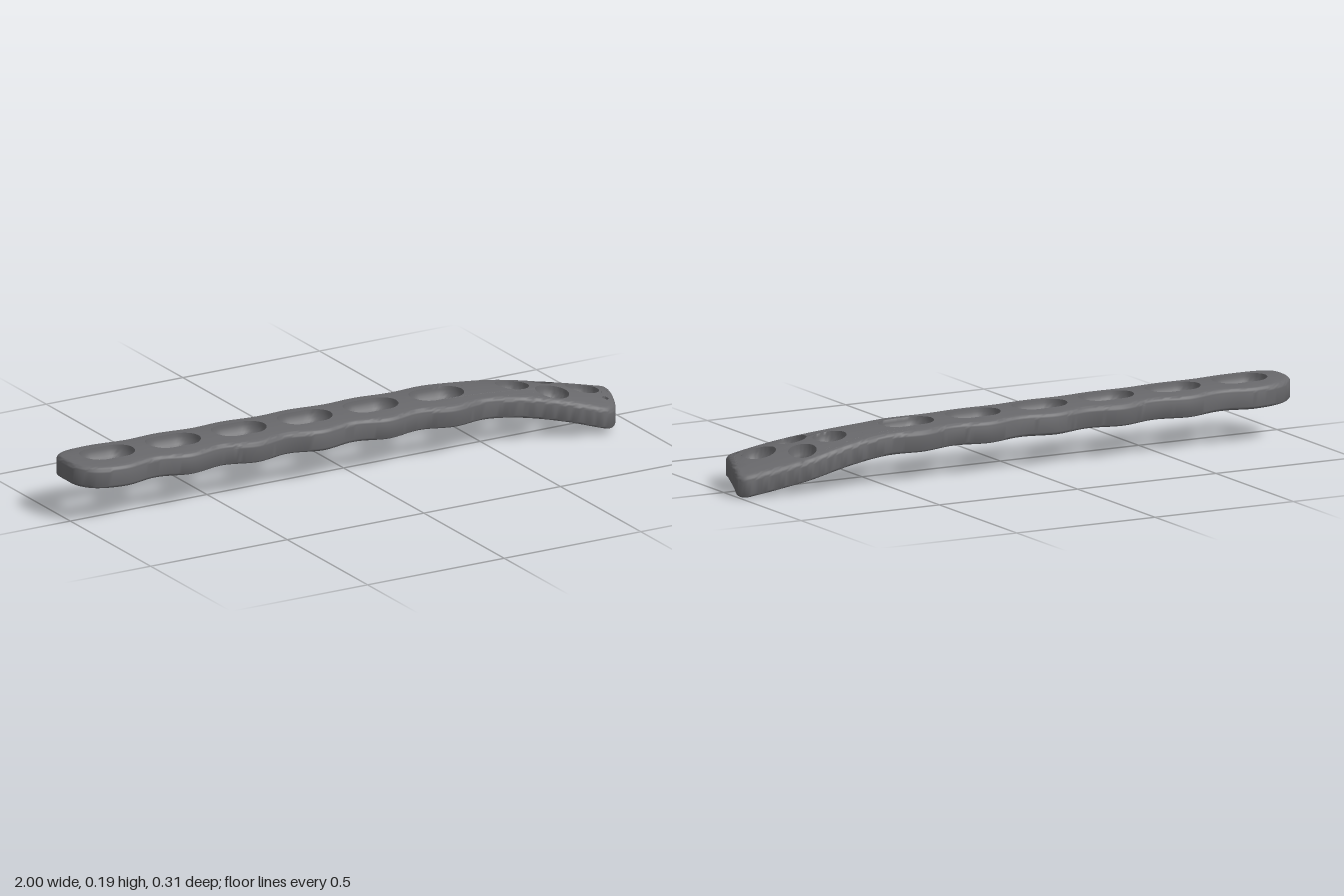
import * as THREE from 'three';
import { mergeGeometries, toCreasedNormals } from 'three/addons/utils/BufferGeometryUtils.js';

const HALF = 0.035;      // half thickness of the plate
const PITCH = 0.241;     // spacing of the slots
const SLOTS = 6;
const slotX = (i) => -0.84 + PITCH * i;

// Plan outline, counter-clockwise, as (x, -z) points
function outlineLoop() {
  const p = [];
  for (let i = 0; i < SLOTS; i++) p.push([slotX(i), 0.08], [slotX(i) + PITCH / 2, 0.062]);
  // flared head
  p.push([0.6, 0.075], [0.75, 0.118], [0.85, 0.15], [0.885, 0.154], [0.915, 0.135], [0.96, 0.04],
    [0.99, -0.05], [0.999, -0.088], [0.985, -0.108], [0.94, -0.12], [0.85, -0.137], [0.76, -0.15], [0.62, -0.148]);
  for (let i = SLOTS - 1; i >= 0; i--) p.push([slotX(i) + PITCH / 2, -0.144], [slotX(i), -0.16]);
  // rounded far end
  p.push([-0.95, -0.14], [-0.992, -0.1], [-1, -0.04], [-0.992, 0.02], [-0.95, 0.06]);
  const curve = new THREE.CatmullRomCurve3(p.map(([x, z]) => new THREE.Vector3(x, -z, 0)), true);
  const pts = curve.getSpacedPoints(380);
  pts.pop();
  return pts.map((v) => new THREE.Vector2(v.x, v.y));
}

// Shrink a loop inward along its normals
function inset(loop, d) {
  const n = loop.length;
  return loop.map((p, i) => {
    const t = loop[(i + 1) % n].clone().sub(loop[(i + n - 1) % n]).normalize();
    return new THREE.Vector2(p.x - t.y * d, p.y + t.x * d);
  });
}

// Clockwise stadium loop (a circle when half = 0)
function stadium(x, z, half, r) {
  const s = new THREE.Shape();
  s.absarc(x + half, -z, r, -Math.PI / 2, Math.PI / 2, false);
  s.absarc(x - half, -z, r, Math.PI / 2, Math.PI * 1.5, false);
  s.closePath();
  const pts = s.getSpacedPoints(48);
  pts.pop();
  return pts.reverse();
}

function fromPositions(pos) {
  const g = new THREE.BufferGeometry();
  g.setAttribute('position', new THREE.Float32BufferAttribute(pos, 3));
  return g;
}

// Wall through loops listed from top to bottom
function wall(rings) {
  const pos = [];
  const put = ({ loop, h }, i) => pos.push(loop[i].x, h, -loop[i].y);
  for (let k = 0; k + 1 < rings.length; k++) {
    const a = rings[k], b = rings[k + 1], n = a.loop.length;
    for (let i = 0; i < n; i++) {
      const j = (i + 1) % n;
      put(b, i); put(b, j); put(a, j);
      put(b, i); put(a, j); put(a, i);
    }
  }
  return fromPositions(pos);
}

// Flat face with holes, divided finely enough to bend
function cap(loop, holes, h, up) {
  const shape = new THREE.Shape(loop);
  shape.holes = holes.map((q) => new THREE.Path(q));
  const g = new THREE.ShapeGeometry(shape), src = g.attributes.position, idx = g.index.array;
  const pos = [];
  const split = (a, b, c) => {
    const ab = a.distanceTo(b), bc = b.distanceTo(c), ca = c.distanceTo(a);
    const longest = Math.max(ab, bc, ca);
    if (longest > 0.045) {
      if (longest === bc) return split(b, c, a);
      if (longest === ca) return split(c, a, b);
      const m = a.clone().add(b).multiplyScalar(0.5);
      split(a, m, c);
      split(m, b, c);
      return;
    }
    for (const v of up ? [a, b, c] : [a, c, b]) pos.push(v.x, h, -v.y);
  };
  const at = (i) => new THREE.Vector2(src.getX(i), src.getY(i));
  for (let i = 0; i < idx.length; i += 3) split(at(idx[i]), at(idx[i + 1]), at(idx[i + 2]));
  return fromPositions(pos);
}

// Arch the section and curve the head downward
function bend(g) {
  const p = g.attributes.position;
  for (let i = 0; i < p.count; i++) {
    const x = p.getX(i), z = p.getZ(i);
    const head = THREE.MathUtils.smoothstep(x, 0.4, 1);
    const drop = 0.014 * x + 0.187 * Math.max(0, x - 0.35) ** 2;
    const arch = (0.8 + 0.7 * head) * (z + 0.04 - 0.06 * head) ** 2;
    p.setY(i, p.getY(i) - drop - arch);
  }
  g.computeBoundingBox();
  g.translate(0, -g.boundingBox.min.y, 0);
}

export function createModel() {
  const metal = new THREE.MeshStandardMaterial({ color: 0x68686b });
  metal.name = 'darkMetal';
  const outline = outlineLoop();

  // Openings: x, z, half straight length, radius, countersink width
  const openings = [
    [0.64, -0.04, 0, 0.036, 0.018], [0.763, -0.085, 0, 0.036, 0.009],
    [0.74, 0.04, 0, 0.036, 0.018], [0.87, 0.005, 0, 0.036, 0.018],
    [0.905, 0.09, 0, 0.009, 0.001],
  ];
  for (let i = 0; i < SLOTS; i++) openings.push([slotX(i), -0.043, 0.035, 0.037, 0.021]);

  // Countersunk bowl profile: fraction of countersink width, height
  const bowl = [[1, HALF], [0.93, 0.024], [0.75, 0.012], [0.45, 0.002], [0, -0.008], [0, -HALF]];
  const holes = openings.map(([x, z, half, r, sink]) =>
    bowl.map(([f, h]) => ({ loop: stadium(x, z, half, r + sink * f), h })));

  // Rounded rim from the upper to the lower edge
  const rim = [];
  const round = (r, sign, k) => {
    const a = (k / 5) * Math.PI / 2;
    rim.push({ loop: inset(outline, r * (1 - Math.sin(a))), h: sign * (HALF - r * (1 - Math.cos(a))) });
  };
  for (let k = 0; k <= 5; k++) round(0.016, 1, k);
  for (let k = 5; k >= 0; k--) round(0.012, -1, k);

  const body = mergeGeometries([
    cap(rim[0].loop, holes.map((h) => h[0].loop), HALF, true),
    cap(rim[rim.length - 1].loop, holes.map((h) => h[h.length - 1].loop), -HALF, false),
    wall(rim),
    ...holes.map(wall),
  ]);
  bend(body);

  const plate = new THREE.Mesh(toCreasedNormals(body, 0.7), metal);
  plate.name = 'slottedPlate';
  const group = new THREE.Group();
  group.name = 'bonePlate';
  group.add(plate);
  return group;
}
